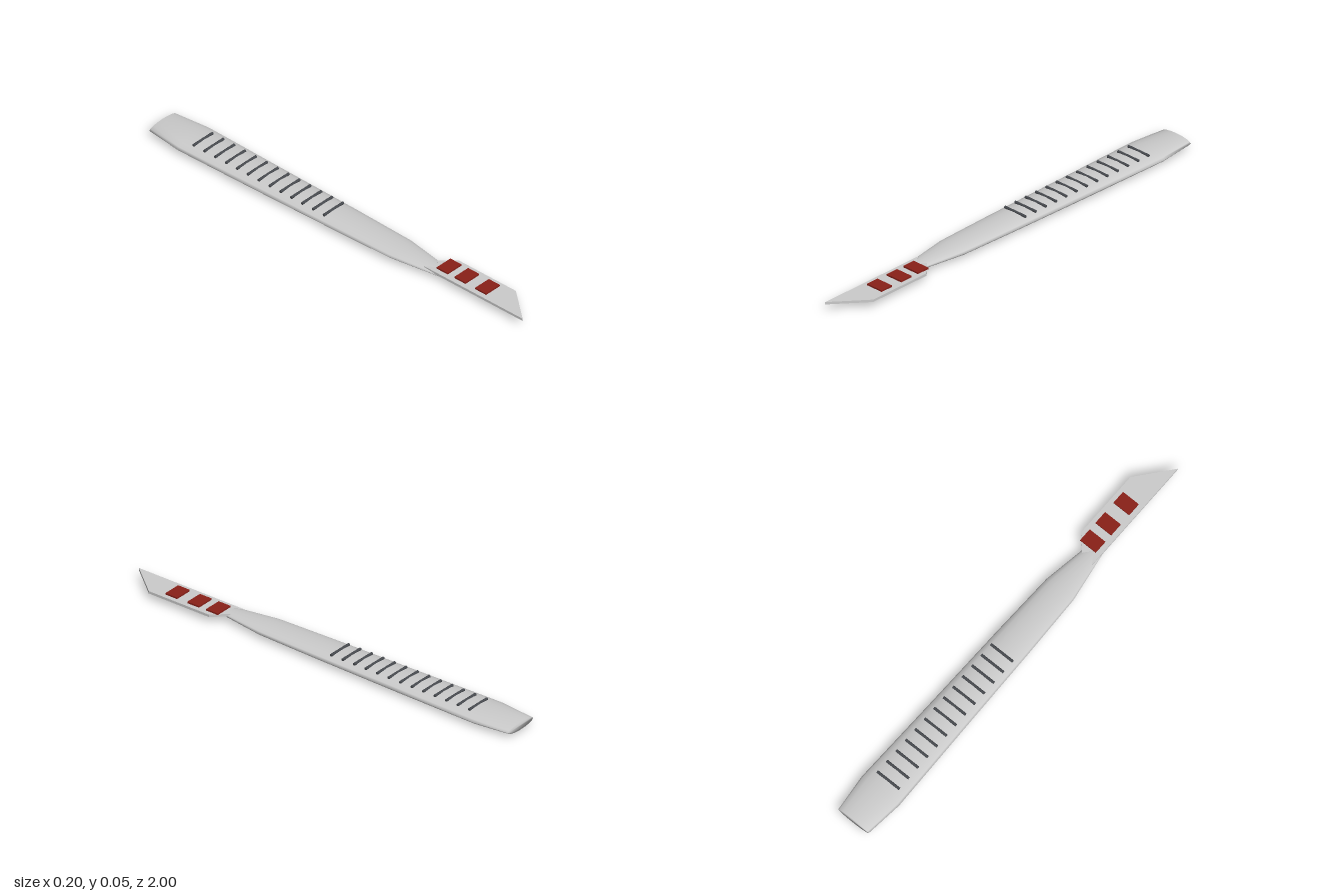
import * as THREE from 'three';

const grey = new THREE.MeshStandardMaterial({ color: 0xcccccc });
const dark = new THREE.MeshStandardMaterial({ color: 0x484b50 });
const red = new THREE.MeshStandardMaterial({ color: 0x8a2018 });

// Closed loft of elliptical rings [z, half width, bottom, top], ordered from back to tip
function loft(rings, sides) {
  const pos = [], index = [];
  for (const [z, w, y0, y1] of rings) {
    for (let i = 0; i < sides; i++) {
      const a = (i / sides) * Math.PI * 2;
      pos.push(w * Math.cos(a), (y0 + y1) / 2 + ((y1 - y0) / 2) * Math.sin(a), z);
    }
  }
  for (let r = 0; r < rings.length - 1; r++) {
    for (let i = 0; i < sides; i++) {
      const j = (i + 1) % sides;
      const a = r * sides + i, b = r * sides + j, c = a + sides, d = b + sides;
      index.push(a, b, d, a, d, c);
    }
  }
  // end caps share the ring vertices, so the ends shade softly
  const last = (rings.length - 1) * sides;
  for (let i = 1; i < sides - 1; i++) {
    index.push(0, i + 1, i, last, last + i, last + i + 1);
  }
  const geo = new THREE.BufferGeometry();
  geo.setAttribute('position', new THREE.Float32BufferAttribute(pos, 3));
  geo.setIndex(index);
  geo.computeVertexNormals();
  return geo;
}

export function createModel() {
  const model = new THREE.Group();
  const add = (name, geo, mat, x = 0, y = 0, z = 0) => {
    const mesh = new THREE.Mesh(geo, mat);
    mesh.name = name;
    mesh.position.set(x, y, z);
    model.add(mesh);
    return mesh;
  };

  // Flattened handle, widest near the back and tapering to the blade
  add('handle', loft([
    [-1, 0.08, 0.011, 0.047],
    [-0.83, 0.098, 0.004, 0.052],
    [-0.4, 0.088, 0.002, 0.053],
    [0, 0.08, 0.006, 0.051],
    [0.3, 0.071, 0.01, 0.048],
    [0.54, 0.032, 0.018, 0.038],
  ], 16), grey);

  // Grip ribs across the top of the handle
  const ribGeo = new THREE.CylinderGeometry(0.006, 0.006, 0.116, 8).rotateZ(Math.PI / 2);
  for (let i = 0; i < 13; i++) add('gripRib', ribGeo, dark, 0, 0.051, -0.78 + i * 0.0595);

  // Flat blade with an angled point; the outline is drawn as (x, -z)
  const outline = new THREE.Shape([
    [-0.034, -1], [0.09, -0.85], [0.09, -0.54], [0.03, -0.475], [0, -0.51], [-0.034, -0.46],
  ].map(([x, y]) => new THREE.Vector2(x, y)));
  const bladeGeo = new THREE.ExtrudeGeometry(outline, { depth: 0.011, bevelEnabled: false });
  add('blade', bladeGeo.rotateX(-Math.PI / 2), grey, 0, 0.029, 0);

  // Coloured plates on the blade
  const plateGeo = new THREE.BoxGeometry(0.082, 0.008, 0.06);
  for (const z of [0.54, 0.637, 0.75]) add('bladePlate', plateGeo, red, 0.029, 0.043, z);

  return model;
}
